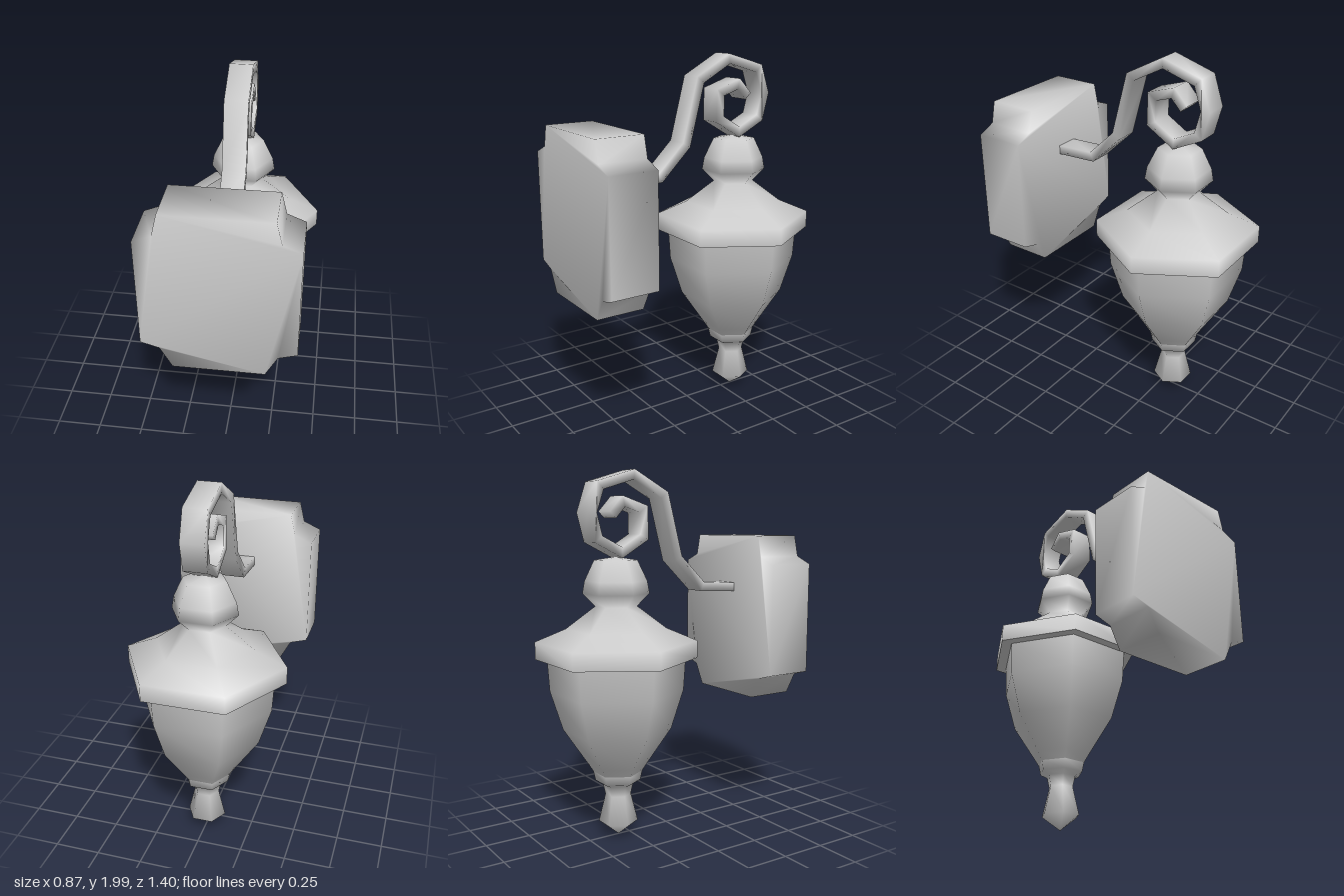
import * as THREE from 'three';
import { mergeVertices } from 'three/addons/utils/BufferGeometryUtils.js';

const material = new THREE.MeshStandardMaterial({ color: 0xcccccc });
const openMaterial = new THREE.MeshStandardMaterial({ color: 0xcccccc, side: THREE.DoubleSide });
const toVectors = (pairs) => pairs.map(([x, y]) => new THREE.Vector2(x, y));

function addMesh(parent, name, geometry, mat = material) {
  const mesh = new THREE.Mesh(geometry, mat);
  mesh.name = name;
  parent.add(mesh);
  return mesh;
}

// Extrude an outline and weld it, so shading runs softly over the edges
function softExtrude(outline, depth) {
  const geometry = new THREE.ExtrudeGeometry(new THREE.Shape(outline), { depth, bevelEnabled: false });
  geometry.deleteAttribute('normal');
  geometry.deleteAttribute('uv');
  const welded = mergeVertices(geometry, 1e-4);
  welded.computeVertexNormals();
  return welded;
}

// Six-sided turned part with corners on the x axis; profile is [corner radius, height]
function hexLathe(profile) {
  return new THREE.LatheGeometry(toVectors(profile), 6, Math.PI / 2);
}

// Closed outline of a ribbon of even thickness along a polyline, mitred at the bends
function ribbonOutline(path, thickness) {
  const upper = [], lower = [];
  path.forEach((p, i) => {
    const before = p.clone().sub(path[Math.max(i - 1, 0)]).normalize();
    const after = path[Math.min(i + 1, path.length - 1)].clone().sub(p).normalize();
    const tangent = before.clone().add(after).normalize();
    const along = i === 0 ? after : before;
    const reach = thickness / 2 / tangent.dot(along);
    const offset = new THREE.Vector2(-tangent.y, tangent.x).multiplyScalar(reach);
    upper.push(p.clone().add(offset));
    lower.push(p.clone().sub(offset));
  });
  return [...lower, ...upper.reverse()];
}

export function createModel() {
  const model = new THREE.Group();
  model.name = 'wallLantern';

  // Wall plate with notched corners
  const half = [[0.237, 0.737], [0.3, 0.855], [0.397, 0.885], [0.397, 1.497], [0.3, 1.537], [0.272, 1.653]];
  const mirrored = half.map(([x, y]) => [-x, y]).reverse();
  addMesh(model, 'wallPlate', softExtrude(toVectors([...half, ...mirrored]), 0.27)).position.z = 0.43;

  // Flat scrolled arm, drawn as [-z, y] and extruded across x
  const scroll = toVectors([
    [-0.435, 1.358], [-0.205, 1.37], [-0.04, 1.53], [0.05, 1.87], [0.24, 1.973],
    [0.443, 1.913], [0.49, 1.775], [0.455, 1.64], [0.315, 1.57], [0.18, 1.65],
    [0.183, 1.795], [0.305, 1.835], [0.37, 1.765],
  ]);
  const arm = softExtrude(ribbonOutline(scroll, 0.05), 0.125);
  arm.translate(0, 0, -0.0655).rotateY(Math.PI / 2);
  addMesh(model, 'scrollArm', arm);

  // Hanging lantern
  const lantern = new THREE.Group();
  lantern.name = 'lantern';
  lantern.position.z = -0.32;
  model.add(lantern);

  addMesh(lantern, 'bottomFinial', hexLathe([
    [0, 0.005], [0.108, 0.085], [0.07, 0.24], [0.084, 0.3], [0.124, 0.32], [0.135, 0.371],
  ]));
  addMesh(lantern, 'lanternBody', hexLathe([
    [0.135, 0.371], [0.165, 0.417], [0.296, 0.61], [0.363, 0.825], [0.374, 1.0],
  ]), openMaterial);
  addMesh(lantern, 'roofUnderside', hexLathe([[0.3, 1.0], [0.437, 1.0]]), openMaterial);
  addMesh(lantern, 'roof', hexLathe([
    [0.437, 1.0], [0.437, 1.095], [0.27, 1.165], [0.112, 1.285],
    // Knob on top of the roof
    [0.179, 1.353], [0.167, 1.42], [0.115, 1.53], [0, 1.548],
  ]));

  return model;
}
